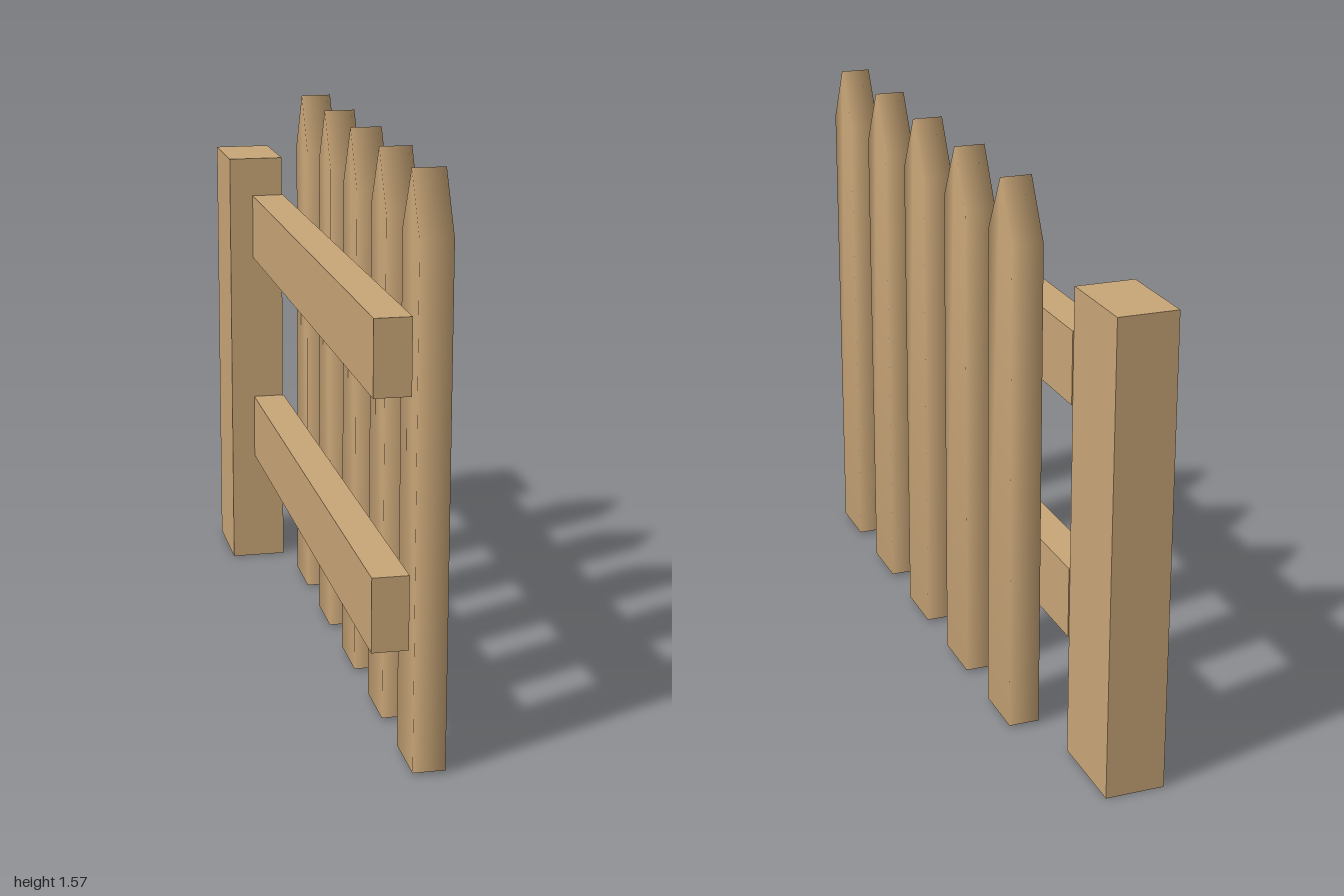
import * as THREE from 'three';
import { mergeVertices } from 'three/addons/utils/BufferGeometryUtils.js';

const wood = new THREE.MeshStandardMaterial({ color: 0xc8a577 });

// Box given by its lower and upper limits on each axis
function beam(name, [x0, x1], [y0, y1], [z0, z1]) {
  const mesh = new THREE.Mesh(new THREE.BoxGeometry(x1 - x0, y1 - y0, z1 - z0), wood);
  mesh.position.set((x0 + x1) / 2, (y0 + y1) / 2, (z0 + z1) / 2);
  mesh.name = name;
  return mesh;
}

// Pointed board with normals shared across its corners for soft shading
function picketGeometry(halfWidth, bottom, shoulder, tip, thickness) {
  const outline = new THREE.Shape([
    new THREE.Vector2(-halfWidth, bottom),
    new THREE.Vector2(halfWidth, bottom),
    new THREE.Vector2(halfWidth, shoulder),
    new THREE.Vector2(0, tip),
    new THREE.Vector2(-halfWidth, shoulder),
  ]);
  let geometry = new THREE.ExtrudeGeometry(outline, { depth: thickness, bevelEnabled: false });
  geometry.deleteAttribute('normal');
  geometry.deleteAttribute('uv');
  geometry = mergeVertices(geometry, 1e-4);
  geometry.rotateY(Math.PI / 2);
  geometry.computeVertexNormals();
  return geometry;
}

export function createModel() {
  const fence = new THREE.Group();
  fence.name = 'picketFence';

  // Post at the back end
  fence.add(beam('post', [-0.138, 0.03], [0, 1.34], [-1, -0.735]));

  // Two horizontal rails
  fence.add(beam('lowerRail', [-0.065, 0.033], [0.35, 0.552], [-0.735, 0.997]));
  fence.add(beam('upperRail', [-0.065, 0.033], [1.018, 1.22], [-0.735, 0.997]));

  // Five pickets, evenly spaced along the rails
  const geometry = picketGeometry(0.086, 0.008, 1.408, 1.57, 0.088);
  for (let i = 0; i < 5; i++) {
    const picket = new THREE.Mesh(geometry, wood);
    picket.name = `picket${i + 1}`;
    picket.position.set(0.047, 0, 0.91 - i * 0.348);
    fence.add(picket);
  }
  return fence;
}
